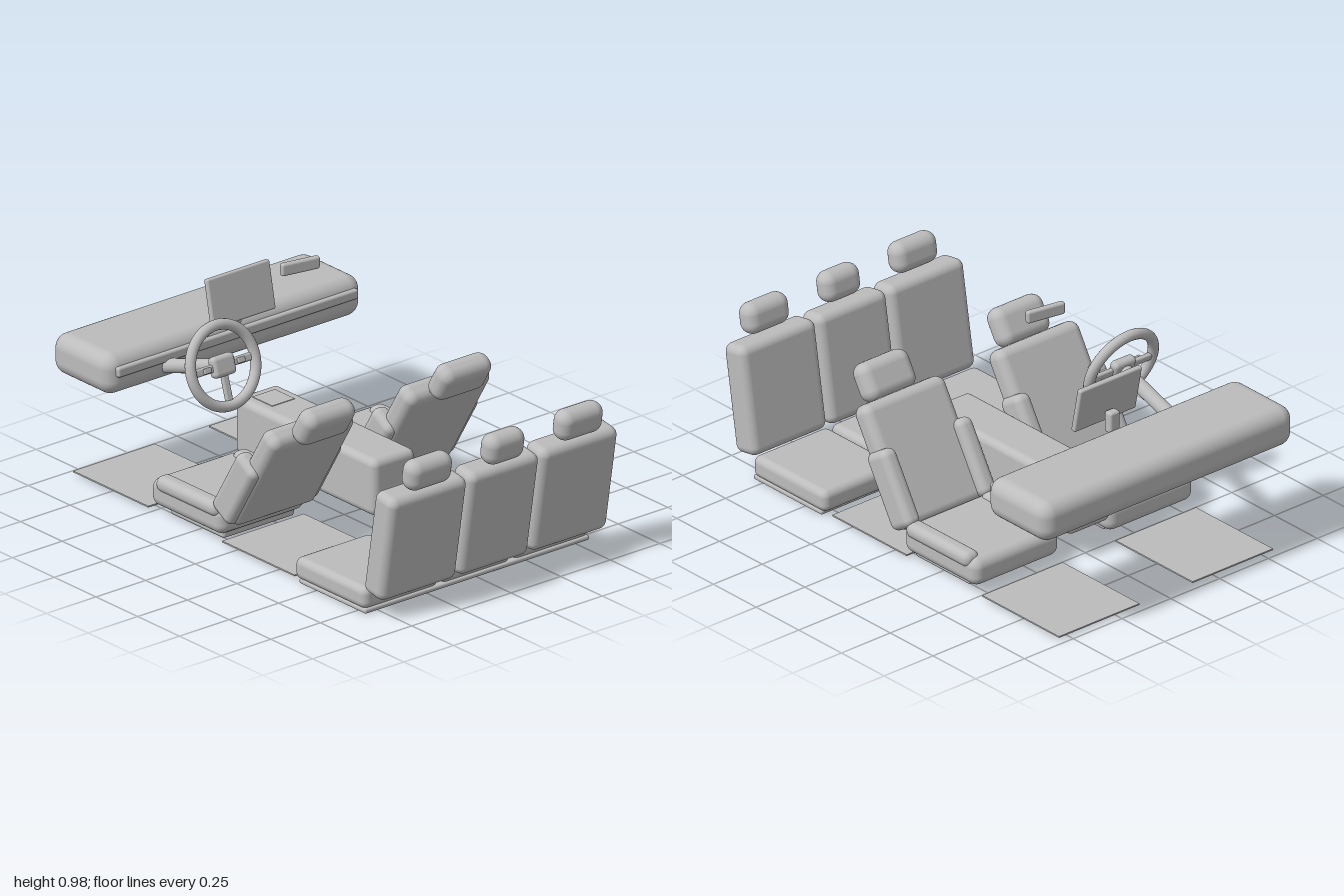
import * as THREE from 'three';
import { RoundedBoxGeometry } from 'three/addons/geometries/RoundedBoxGeometry.js';

const grey = new THREE.MeshStandardMaterial({ color: 0xbcbcbc });
grey.name = 'neutral grey';

function add(parent, name, geometry, x, y, z, tilt = 0) {
  const mesh = new THREE.Mesh(geometry, grey);
  mesh.name = name;
  mesh.position.set(x, y, z);
  mesh.rotation.x = tilt;
  parent.add(mesh);
  return mesh;
}

// Rounded block given by size, corner radius, centre and backward tilt
function pad(parent, name, [w, h, d], r, [x, y, z], tilt = 0) {
  return add(parent, name, new RoundedBoxGeometry(w, h, d, 5, r), x, y, z, tilt);
}

function group(parent, name) {
  const g = new THREE.Group();
  g.name = name;
  parent.add(g);
  return g;
}

function frontSeat(parent, name, x) {
  const seat = group(parent, name);
  seat.position.x = x;
  const recline = 0.54;
  pad(seat, 'seatBase', [0.36, 0.04, 0.32], 0.012, [0, 0.028, -0.26]);
  pad(seat, 'seatCushion', [0.44, 0.115, 0.43], 0.04, [0, 0.092, -0.285]);
  pad(seat, 'seatBack', [0.42, 0.51, 0.1], 0.04, [0, 0.325, 0.078], recline);
  pad(seat, 'headrest', [0.25, 0.16, 0.1], 0.045, [0, 0.58, 0.285], recline);
  for (const side of [-1, 1]) {
    pad(seat, 'cushionBolster', [0.075, 0.065, 0.37], 0.03, [side * 0.193, 0.138, -0.275]);
    pad(seat, 'backBolster', [0.075, 0.32, 0.13], 0.032, [side * 0.195, 0.263, 0.008], recline);
  }
}

function rearSeat(parent, name, x, width, headWidth) {
  const seat = group(parent, name);
  seat.position.x = x;
  pad(seat, 'rearCushion', [width, 0.092, 0.425], 0.03, [0, 0.06, 0.588]);
  pad(seat, 'rearBack', [width + 0.005, 0.455, 0.122], 0.035, [0, 0.311, 0.88], 0.165);
  pad(seat, 'rearHeadrest', [headWidth, 0.128, 0.095], 0.045, [0, 0.603, 0.948], 0.165);
}

function steeringWheel(parent) {
  const wheel = group(parent, 'steeringWheel');
  wheel.position.set(-0.345, 0.618, -0.315);
  wheel.rotation.x = -0.3;
  add(wheel, 'wheelRim', new THREE.TorusGeometry(0.16, 0.022, 16, 56), 0, 0, 0);
  pad(wheel, 'wheelHub', [0.11, 0.085, 0.045], 0.018, [0, 0, -0.005]);
  for (const side of [-1, 1]) {
    pad(wheel, 'sideSpoke', [0.12, 0.032, 0.02], 0.008, [side * 0.1, 0, -0.005]);
    pad(wheel, 'spokeButtons', [0.035, 0.022, 0.012], 0.004, [side * 0.085, 0, 0.009]);
  }
  pad(wheel, 'lowerSpoke', [0.032, 0.13, 0.02], 0.008, [0, -0.095, -0.005]);

  // Column running from the hub into the dashboard
  const start = new THREE.Vector3(-0.345, 0.61, -0.33);
  const end = new THREE.Vector3(-0.345, 0.5, -0.67);
  const axis = end.clone().sub(start);
  const mid = start.clone().add(end).multiplyScalar(0.5);
  const column = add(parent, 'steeringColumn',
    new THREE.CylinderGeometry(0.029, 0.029, axis.length(), 24), mid.x, mid.y, mid.z);
  column.quaternion.setFromUnitVectors(new THREE.Vector3(0, 1, 0), axis.normalize());
}

export function createModel() {
  const model = new THREE.Group();
  model.name = 'carInterior';

  // Dashboard with trim strip, screen and mirror
  pad(model, 'dashboard', [1.29, 0.17, 0.355], 0.06, [0, 0.53, -0.8225]);
  pad(model, 'dashTrim', [1.21, 0.042, 0.03], 0.01, [0, 0.551, -0.645]);
  pad(model, 'screenStand', [0.05, 0.09, 0.04], 0.01, [-0.005, 0.635, -0.652]);
  pad(model, 'screen', [0.315, 0.198, 0.025], 0.008, [-0.002, 0.722, -0.622], -0.2);
  const mirror = pad(model, 'rearviewMirror', [0.17, 0.052, 0.027], 0.01, [0, 0.957, -0.265]);
  mirror.rotation.y = -0.18;

  steeringWheel(model);

  // Centre console with raised panels on top
  pad(model, 'centreConsole', [0.215, 0.237, 0.84], 0.03, [-0.002, 0.2325, -0.11]);
  pad(model, 'consolePanel', [0.115, 0.008, 0.12], 0.002, [-0.002, 0.35, -0.42]);

  frontSeat(model, 'leftHandFrontSeat', 0.343);
  frontSeat(model, 'rightHandFrontSeat', -0.343);

  // Rear bench on one shared base
  pad(model, 'benchBase', [1.13, 0.02, 0.4], 0.008, [0, 0.01, 0.6]);
  rearSeat(model, 'rearSeatLeft', 0.38, 0.382, 0.215);
  rearSeat(model, 'rearSeatMiddle', 0, 0.348, 0.185);
  rearSeat(model, 'rearSeatRight', -0.38, 0.382, 0.215);

  // Floor mats
  for (const x of [-0.342, 0.342]) {
    for (const [name, z, depth] of [['frontMat', -0.747, 0.45], ['rearMat', 0.138, 0.435]]) {
      add(model, name, new THREE.BoxGeometry(0.412, 0.006, depth), x, 0.012, z);
    }
  }
  return model;
}
